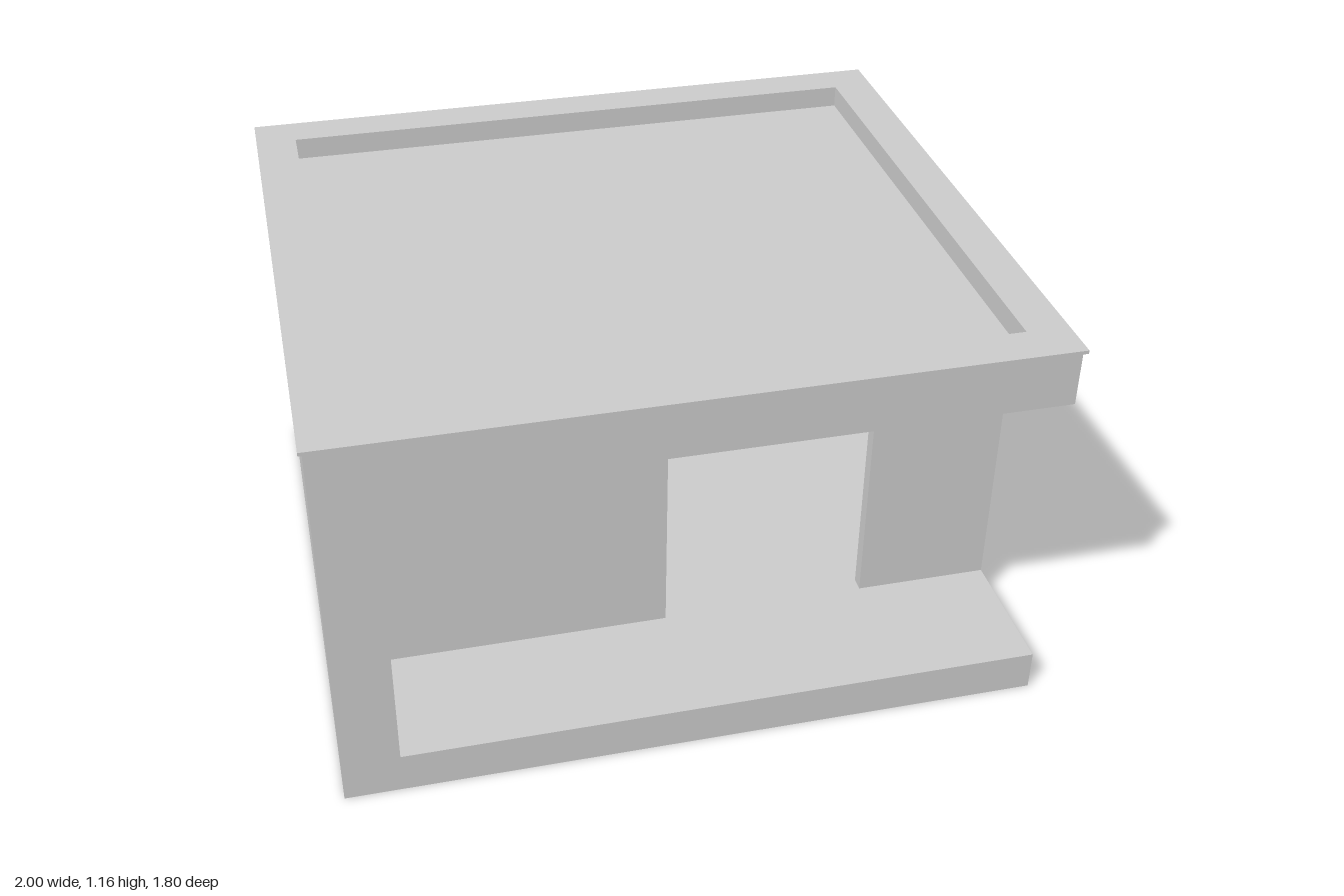
import * as THREE from 'three';

const X = 0.99, Z = 0.89;            // outer half sizes of the house
const T = 0.04;                      // wall thickness
const FLOOR = 0.12, SILL = 0.43, HEAD = 0.87, CEILING = 0.99;
const ROOF = 1.095, PARAPET = 1.15, TOP = 1.16;
const PORCH = 0.5;                   // z of the wall behind the porch
const WIN_X = 0.49, WIN_Z = -0.39;   // inner ends of the rear corner windows

export function createModel() {
  const house = new THREE.Group();
  house.name = 'house';
  const material = new THREE.MeshStandardMaterial({ color: 0xcccccc, flatShading: true });

  const add = (name, geometry, x = 0, y = 0, z = 0) => {
    const mesh = new THREE.Mesh(geometry, material);
    mesh.name = name;
    mesh.position.set(x, y, z);
    house.add(mesh);
    return mesh;
  };

  // Box given by its minimum and maximum corners
  const block = (name, [x0, y0, z0], [x1, y1, z1]) =>
    add(name, new THREE.BoxGeometry(x1 - x0, y1 - y0, z1 - z0),
      (x0 + x1) / 2, (y0 + y1) / 2, (z0 + z1) / 2);

  const outline = (points) => new THREE.Shape(points.map(([x, y]) => new THREE.Vector2(x, y)));
  const rect = (hx, hy) => [[-hx, -hy], [hx, -hy], [hx, hy], [-hx, hy]];
  const extrude = (shape, depth) =>
    new THREE.ExtrudeGeometry(shape, { depth, bevelEnabled: false });

  // Horizontal rectangular frame around the roof
  const ring = (name, hx, hz, y0, y1) => {
    const shape = outline(rect(hx, hz));
    shape.holes.push(outline(rect(0.88, 0.78)));
    add(name, extrude(shape, y1 - y0).rotateX(-Math.PI / 2), 0, y0, 0);
  };

  // Floor and sunken flat roof with its rim
  block('floorSlab', [-X, 0, -Z], [X, FLOOR, Z]);
  block('roofSlab', [-X, CEILING, -Z], [X, ROOF, Z]);
  ring('parapet', X, Z, ROOF, PARAPET);
  ring('coping', 1, 0.9, PARAPET, TOP);

  // Side walls, each notched at the rear for a corner window
  const side = outline([
    [-Z, FLOOR], [PORCH, FLOOR], [PORCH, CEILING], [-Z, CEILING],
    [-Z, HEAD], [WIN_Z, HEAD], [WIN_Z, SILL], [-Z, SILL],
  ]);
  for (const [name, x] of [['leftWall', X], ['rightWall', -X + T]]) {
    add(name, extrude(side, T).rotateY(-Math.PI / 2), x, 0, 0);
  }

  // Back wall, notched at both ends to complete the corner windows
  const w = X - T;
  add('backWall', extrude(outline([
    [-w, FLOOR], [w, FLOOR], [w, SILL], [WIN_X, SILL], [WIN_X, HEAD], [w, HEAD],
    [w, CEILING], [-w, CEILING], [-w, HEAD], [-WIN_X, HEAD], [-WIN_X, SILL], [-w, SILL],
  ]), T), 0, 0, -Z);

  // Porch wall with a doorway open to the floor
  add('porchWall', extrude(outline([
    [-w, FLOOR], [0, FLOOR], [0, HEAD], [0.6, HEAD], [0.6, FLOOR],
    [w, FLOOR], [w, CEILING], [-w, CEILING],
  ]), T), 0, 0, PORCH - T);

  // Thick pier closing one end of the porch
  block('porchPier', [-X, FLOOR, PORCH], [-0.83, CEILING, Z]);

  return house;
}
